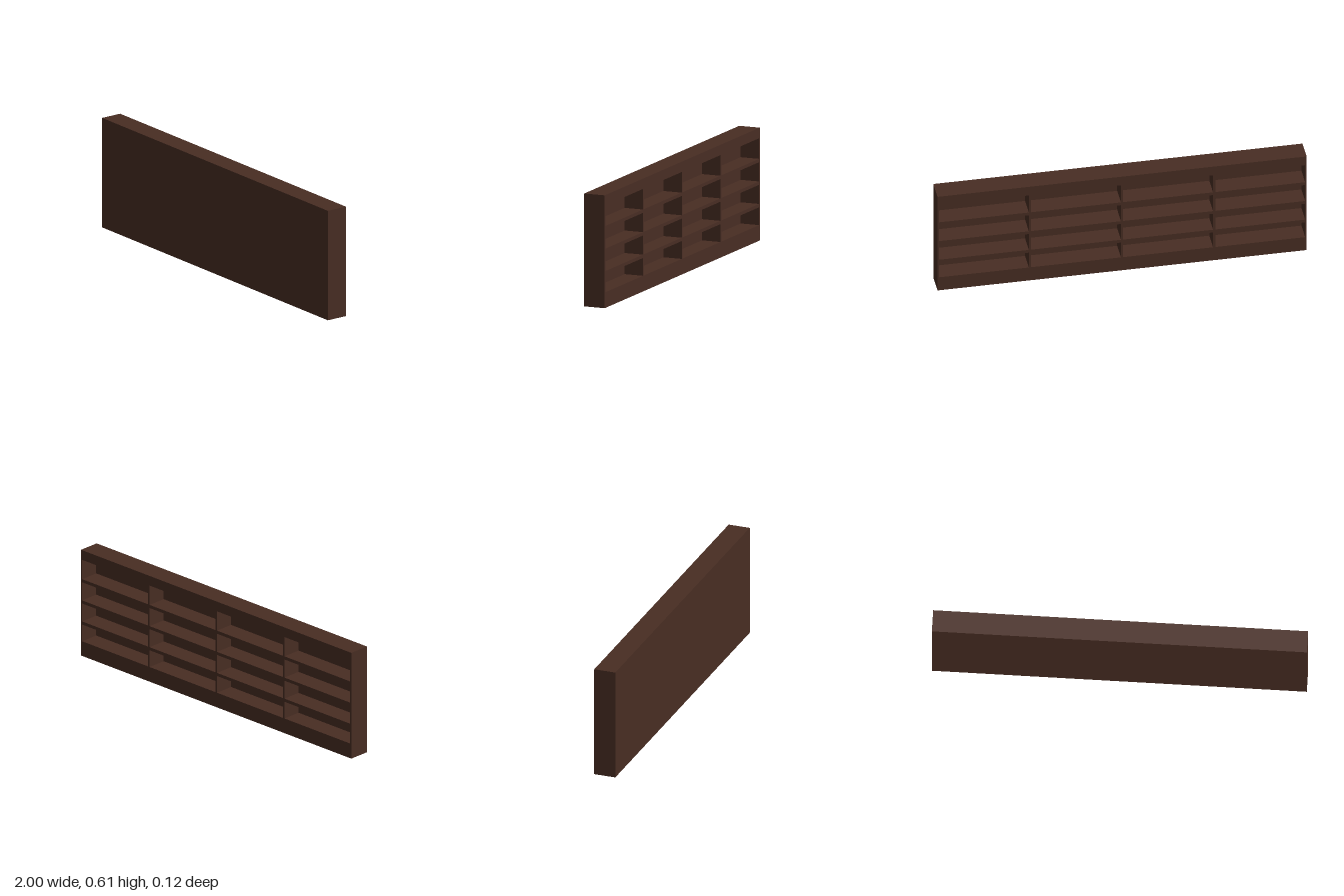
import * as THREE from 'three';

export function createModel() {
  const model = new THREE.Group();
  model.name = 'bookcase';
  const wood = new THREE.MeshStandardMaterial({ color: 0x482d23 });
  wood.name = 'dark wood';

  const H = 0.613, D = 0.12, side = 0.008, back = 0.012;
  const baseTop = 0.085, headBottom = 0.557;
  const innerW = 2 - 2 * side, innerD = D - back, innerZ = -back / 2;

  const box = (name, w, h, d, x, y, z) => {
    const mesh = new THREE.Mesh(new THREE.BoxGeometry(w, h, d), wood);
    mesh.name = name;
    mesh.position.set(x, y, z);
    model.add(mesh);
  };

  // Closed panel on the +z side; the shelves open towards -z
  box('backPanel', innerW, H, back, 0, H / 2, D / 2 - back / 2);
  for (const s of [-1, 1])
    box(s > 0 ? 'leftSide' : 'rightSide', side, H, D, s * (1 - side / 2), H / 2, 0);

  // Plinth and header
  box('plinth', innerW, baseTop, innerD, 0, baseTop / 2, innerZ);
  box('header', innerW, H - headBottom, innerD, 0, (H + headBottom) / 2, innerZ);

  // Dividers make four columns
  const divider = 0.012, columns = 4;
  const bayW = (innerW - divider * (columns - 1)) / columns;
  for (let i = 1; i < columns; i++)
    box('divider', divider, headBottom - baseTop, innerD,
      -innerW / 2 + i * (bayW + divider) - divider / 2, (baseTop + headBottom) / 2, innerZ);

  // Three shelves in each column
  const shelf = 0.018;
  for (let c = 0; c < columns; c++)
    for (const top of [0.2, 0.322, 0.445])
      box('shelf', bayW, shelf, innerD,
        -innerW / 2 + c * (bayW + divider) + bayW / 2, top - shelf / 2, innerZ);

  return model;
}
